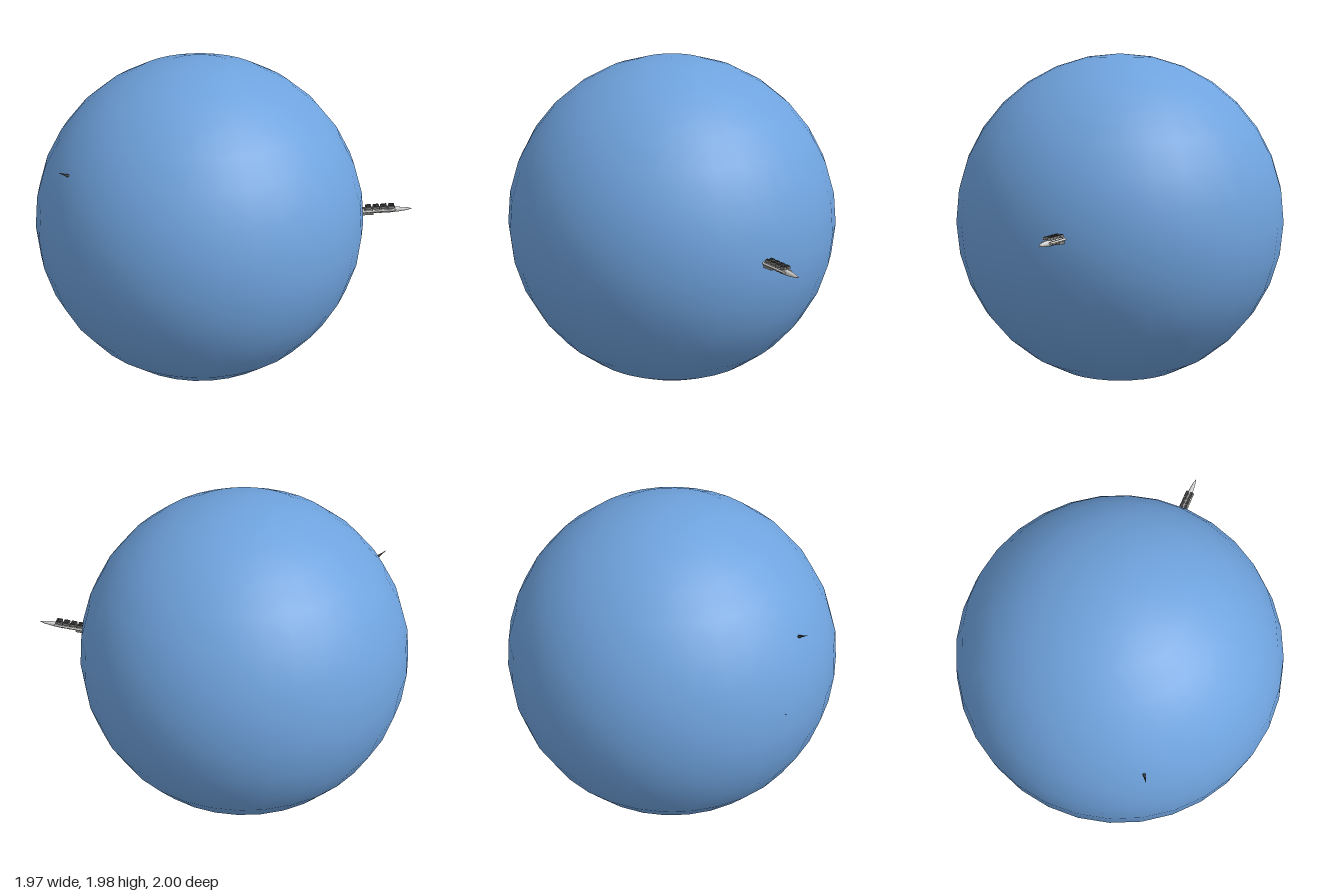
import * as THREE from 'three';

const paint = (name, color) => {
  const m = new THREE.MeshStandardMaterial({ color });
  m.name = name;
  return m;
};

export function createModel() {
  const blue = paint('planet blue', 0x6fa3de);
  const white = paint('hull light grey', 0xd2d2d0);
  const grey = paint('module grey', 0x8c8c8a);
  const dark = paint('trim dark grey', 0x3a3a3c);
  const model = new THREE.Group();
  const add = (parent, name, geometry, material, x = 0, y = 0, z = 0) => {
    const mesh = new THREE.Mesh(geometry, material);
    mesh.name = name;
    mesh.position.set(x, y, z);
    parent.add(mesh);
    return mesh;
  };
  const centre = new THREE.Vector3(-0.002, 0.995, -0.017);

  // Large smooth globe
  add(model, 'planet', new THREE.SphereGeometry(0.983, 32, 16), blue, ...centre.toArray());

  // Ship: its nose points along local +z and its tail sinks into the globe
  const ship = new THREE.Group();
  ship.name = 'ship';
  const profile = [[0, -0.34], [0.014, -0.34], [0.017, -0.32], [0.017, -0.13],
    [0.014, -0.08], [0.008, -0.03], [0, 0]].map(([r, y]) => new THREE.Vector2(r, y));
  const hull = new THREE.LatheGeometry(profile, 12);
  hull.rotateX(Math.PI / 2);
  add(ship, 'hull', hull, white);
  add(ship, 'spine', new THREE.BoxGeometry(0.012, 0.012, 0.18), grey, 0, 0.018, -0.21);

  // Rows of modules on the back of the ship, with dark caps
  for (let i = 0; i < 4; i++) {
    const z = -0.125 - i * 0.046;
    for (const side of [-1, 1]) {
      add(ship, 'topModule', new THREE.BoxGeometry(0.017, 0.013, 0.036), grey, side * 0.013, 0.024, z);
      add(ship, 'moduleCap', new THREE.BoxGeometry(0.013, 0.004, 0.03), dark, side * 0.013, 0.032, z);
    }
    const band = new THREE.CylinderGeometry(0.0185, 0.0185, 0.007, 12);
    band.rotateX(Math.PI / 2);
    add(ship, 'hullBand', band, dark, 0, 0, z - 0.023);
  }

  // Side pods and stubby tail blocks
  for (const side of [-1, 1]) {
    const pod = new THREE.CylinderGeometry(0.006, 0.007, 0.2, 8);
    pod.rotateX(Math.PI / 2);
    add(ship, 'sidePod', pod, white, side * 0.021, 0.004, -0.2);
    add(ship, 'tailBlock', new THREE.BoxGeometry(0.014, 0.014, 0.07), grey, side * 0.01, -0.014, -0.27);
  }
  const tip = new THREE.Vector3(0.782, 1.053, 0.995);
  ship.position.copy(tip);
  ship.lookAt(tip.clone().add(new THREE.Vector3(0.6, 0.07, 0.8)));
  model.add(ship);

  // Tiny spikes that just break the surface: tip position, radius, material
  const spikes = [
    [[-0.22, 0.0, 0.155], 0.008, white],
    [[-0.852, 1.505, -0.345], 0.009, dark],
    [[-0.231, 1.808, -0.52], 0.004, dark],
    [[-0.802, 1.13, -0.592], 0.004, dark],
  ];
  for (const [point, radius, material] of spikes) {
    const end = new THREE.Vector3(...point);
    const out = end.clone().sub(centre).normalize();
    const spike = add(model, 'surfaceSpike', new THREE.ConeGeometry(radius, 0.07, 8), material);
    spike.position.copy(end).addScaledVector(out, -0.035);
    spike.quaternion.setFromUnitVectors(new THREE.Vector3(0, 1, 0), out);
  }
  return model;
}
